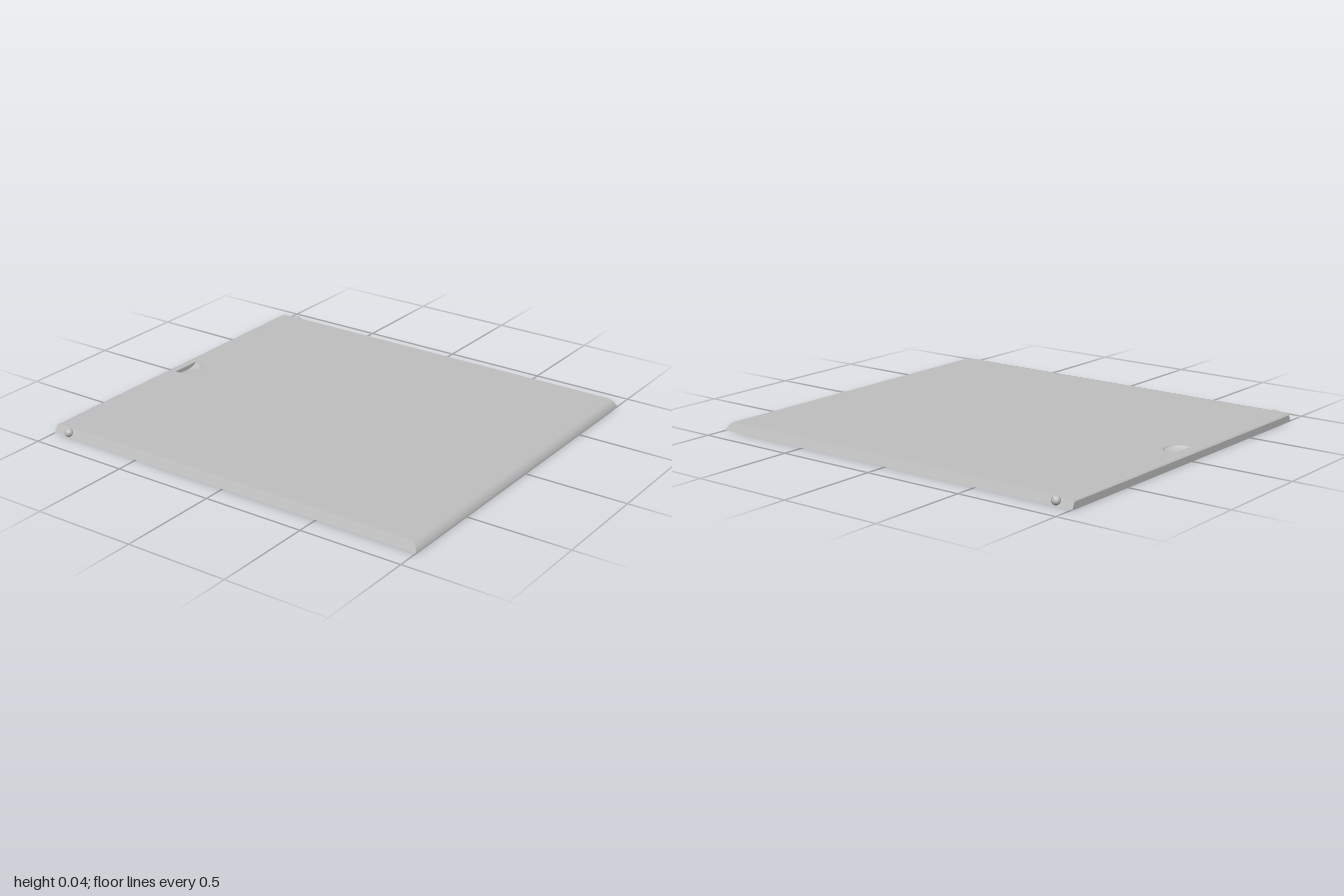
import * as THREE from 'three';
import { toCreasedNormals } from 'three/addons/utils/BufferGeometryUtils.js';

const H = 0.042;        // panel thickness
const POCKET = 0.026;   // pocket depth
const V2 = (x, y) => new THREE.Vector2(x, y);

// Skin a list of rings (arrays of [x, y, z]) ordered from low to high
function loft(rings, closed = true) {
  const pos = [];
  for (let i = 0; i < rings.length - 1; i++) {
    const a = rings[i], b = rings[i + 1], n = a.length;
    for (let j = 0; j < (closed ? n : n - 1); j++) {
      const k = (j + 1) % n;
      pos.push(...a[j], ...a[k], ...b[k], ...a[j], ...b[k], ...b[j]);
    }
  }
  const g = new THREE.BufferGeometry();
  g.setAttribute('position', new THREE.Float32BufferAttribute(pos, 3));
  return toCreasedNormals(g, 0.5);
}

// Keep the part of a polygon where axis * sign <= limit
function clip(poly, axis, sign, limit) {
  const out = [];
  poly.forEach((p, i) => {
    const q = poly[(i + 1) % poly.length];
    const dp = p[axis] * sign - limit, dq = q[axis] * sign - limit;
    if (dp <= 0) out.push(p);
    if (dp * dq < 0) out.push(p.clone().lerp(q, dp / (dp - dq)));
  });
  return out;
}

// Honeycomb of hexagons in (x, z), trimmed to a rectangle
function honeycomb() {
  const cells = [], pitch = 0.22, R = 0.108;
  for (let row = -4; row <= 4; row++) {
    const odd = Math.abs(row % 2), count = odd ? 8 : 7;
    for (let c = 0; c < count; c++) {
      const cx = (c - (count - 1) / 2) * pitch, cz = row * 0.1905;
      let poly = [];
      for (let k = 0; k < 6; k++) {
        const t = Math.PI / 6 + k * Math.PI / 3;
        poly.push(V2(cx + R * Math.cos(t), cz + R * Math.sin(t)));
      }
      for (const s of [1, -1]) poly = clip(clip(poly, 'x', s, 0.72), 'y', s, 0.82);
      cells.push(poly);
    }
  }
  return cells;
}

export function createModel() {
  const model = new THREE.Group();
  const grey = new THREE.MeshStandardMaterial({ color: 0xc0c0c0, side: THREE.DoubleSide });
  grey.name = 'grey';
  const add = (name, geo, parent = model) => {
    const m = new THREE.Mesh(geo, grey);
    m.name = name;
    parent.add(m);
    return m;
  };

  // Rim: sloped sides, rounded front edge, small rounding at the back
  const profile = [ // y, front z, back z
    [0, 1, -1], [0.008, 0.998, -1], [0.02, 0.992, -1],
    [0.03, 0.984, -1], [0.037, 0.976, -0.995], [H, 0.967, -0.985],
  ];
  const corners = ([y, zf, zb]) => {
    const x = 0.889 - 0.48 * y;
    return [[x, y, zf], [x, y, zb], [-x, y, zb], [-x, y, zf]];
  };
  const rings = profile.map(corners);
  add('rim', loft(rings));

  // Finger notch: half-bowl scoop with an upright back wall
  const nx = 0.078, nz = 0.088, depth = 0.022, z0 = -0.952, N = 24;
  const arc = (b) => Array.from({ length: N + 1 }, (_, i) => {
    const t = i / N * Math.PI;
    return [nx * Math.cos(t) * Math.cos(b), H - depth * Math.sin(b), z0 + nz * Math.sin(t) * Math.cos(b)];
  });
  const scoop = [];
  for (let i = 8; i >= 0; i--) scoop.push(arc(i / 8 * Math.PI / 2));
  const notch = new THREE.Group();
  notch.name = 'fingerNotch';
  model.add(notch);
  add('notchScoop', loft(scoop, false), notch);
  const wall = new THREE.Shape();
  wall.absellipse(0, 0, nx, depth, Math.PI, 2 * Math.PI, false);
  add('notchWall', new THREE.ShapeGeometry(wall, N), notch).position.set(0, H, z0);

  // Top face with an opening for the notch
  const top = new THREE.Shape(rings.at(-1).map(([x, , z]) => V2(x, -z)));
  top.holes.push(new THREE.Path(arc(0).map(([x, , z]) => V2(x, -z))));
  add('topFace', new THREE.ShapeGeometry(top).rotateX(-Math.PI / 2)).position.y = H;

  // Underside with honeycomb pockets
  const cells = honeycomb();
  const under = new THREE.Shape(rings[0].map(([x, , z]) => V2(x, z)));
  under.holes = cells.map((c) => new THREE.Path(c));
  add('underside', new THREE.ShapeGeometry(under).rotateX(Math.PI / 2));
  const pockets = new THREE.Group();
  pockets.name = 'honeycombPockets';
  model.add(pockets);
  for (const c of cells) {
    const ring = (y) => c.map((p) => [p.x, y, p.y]);
    add('pocketWalls', loft([ring(0), ring(POCKET)]), pockets);
    add('pocketFloor', new THREE.ShapeGeometry(new THREE.Shape(c)).rotateX(Math.PI / 2), pockets)
      .position.y = POCKET;
  }

  // Round catches on both sides near the back
  for (const s of [1, -1]) {
    add(s > 0 ? 'leftCatch' : 'rightCatch', new THREE.SphereGeometry(0.021, 24, 16))
      .position.set(s * 0.883, 0.023, -0.915);
  }
  return model;
}
